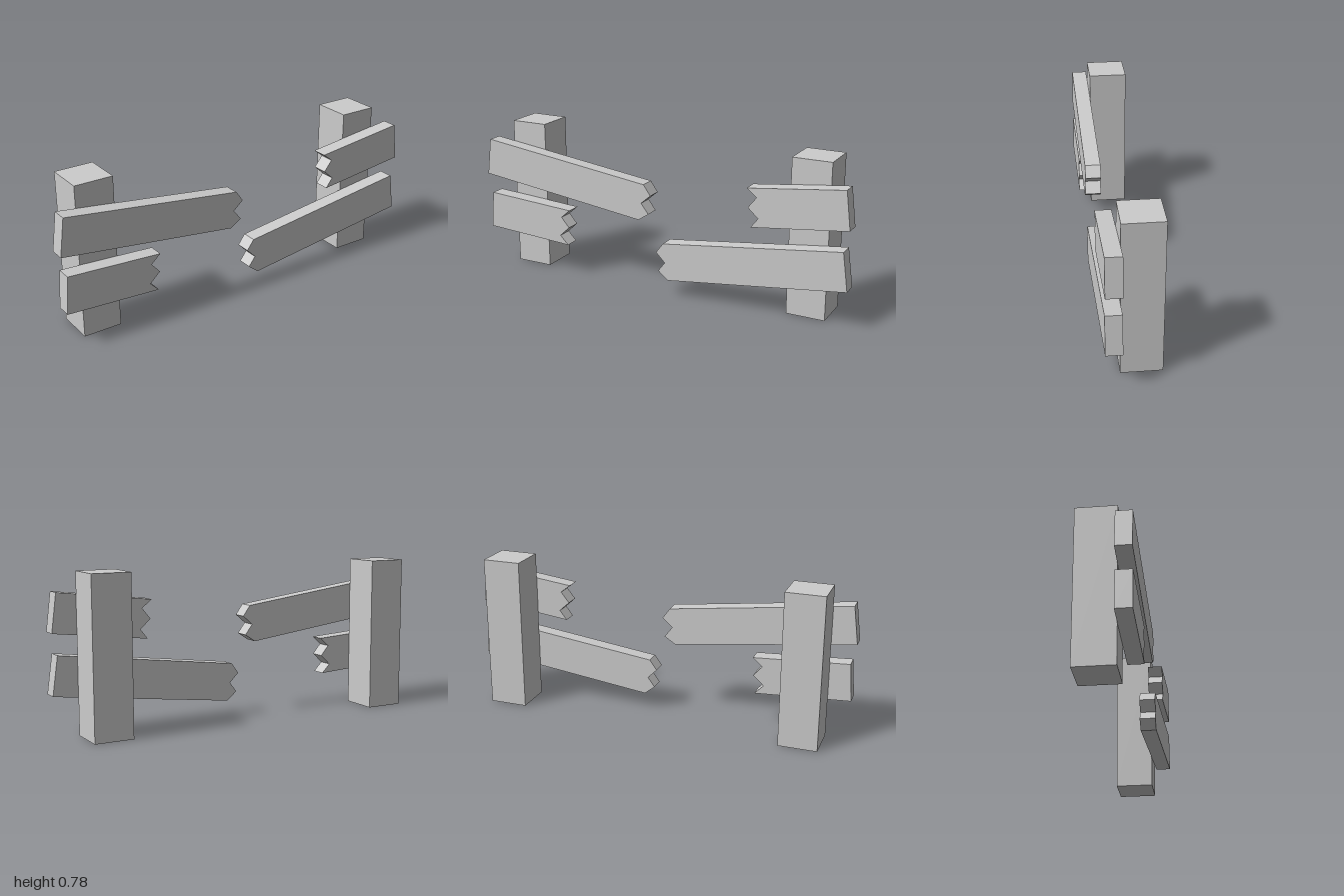
import * as THREE from 'three';

const material = new THREE.MeshStandardMaterial({ color: 0xcccccc, flatShading: true });
const POST = { width: 0.195, height: 0.78, depth: 0.195, x: 0.778, z: -0.0385 };
const PLANK_BACK = 0.059, PLANK_DEPTH = 0.078;

// Upright square post
function post(name, x) {
  const mesh = new THREE.Mesh(new THREE.BoxGeometry(POST.width, POST.height, POST.depth), material);
  mesh.position.set(x, POST.height / 2, POST.z);
  mesh.name = name;
  return mesh;
}

// Plank cut from a side outline: sawn outer end first, then the splintered end
function plank(name, outline) {
  const shape = new THREE.Shape(outline.map(([x, y]) => new THREE.Vector2(x, y)));
  const geometry = new THREE.ExtrudeGeometry(shape, { depth: PLANK_DEPTH, bevelEnabled: false });
  geometry.translate(0, 0, PLANK_BACK);
  const mesh = new THREE.Mesh(geometry, material);
  mesh.name = name;
  return mesh;
}

const planks = {
  upperRightLongPlank: [[-0.975, 0.684], [-1, 0.494], [-0.086, 0.377], [-0.03, 0.414],
    [-0.07, 0.466], [-0.018, 0.511], [-0.056, 0.564]],
  lowerRightBrokenPlank: [[-0.976, 0.391], [-0.99, 0.2], [-0.508, 0.171], [-0.553, 0.217],
    [-0.499, 0.267], [-0.543, 0.318], [-0.494, 0.361]],
  upperLeftBrokenPlank: [[0.973, 0.684], [0.997, 0.494], [0.516, 0.436], [0.553, 0.484],
    [0.5, 0.532], [0.543, 0.586], [0.492, 0.626]],
  lowerLeftLongPlank: [[0.973, 0.391], [1, 0.199], [0.078, 0.083], [0.025, 0.126],
    [0.061, 0.174], [0.013, 0.222], [0.051, 0.273]],
};

export function createModel() {
  const fence = new THREE.Group();
  fence.name = 'brokenFence';
  fence.add(post('rightPost', -POST.x), post('leftPost', POST.x));
  for (const [name, outline] of Object.entries(planks)) fence.add(plank(name, outline));
  return fence;
}
